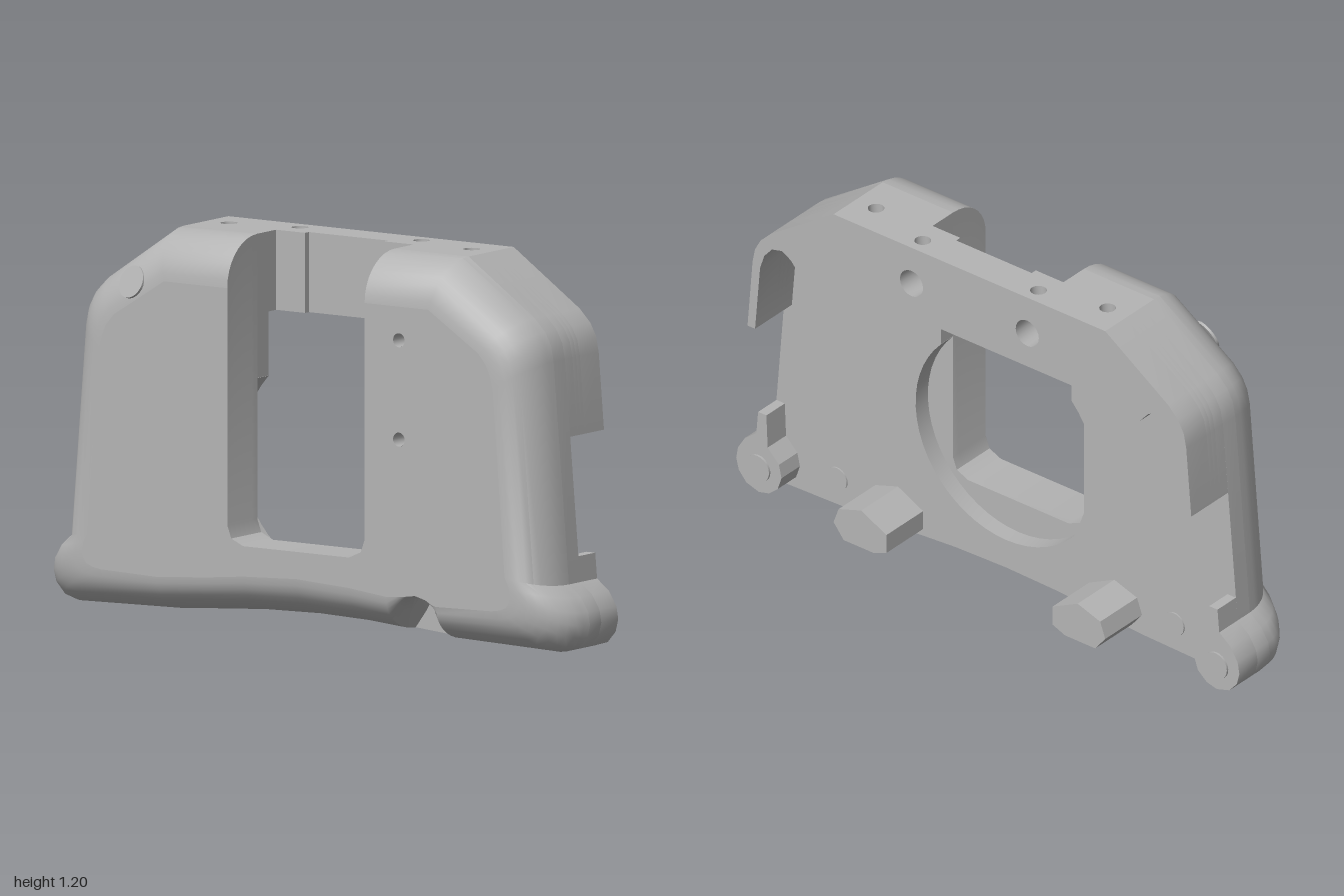
import * as THREE from 'three';
import { toCreasedNormals } from 'three/addons/utils/BufferGeometryUtils.js';

export function createModel() {
  const model = new THREE.Group();
  const grey = new THREE.MeshStandardMaterial({ color: 0xb4b4b4, side: THREE.DoubleSide });
  grey.name = 'plain grey';

  const add = (name, geometry) => {
    const mesh = new THREE.Mesh(geometry, grey);
    mesh.name = name;
    model.add(mesh);
    return mesh;
  };
  const makeShape = (pts, holes = [], s = 1) => {
    const shape = new THREE.Shape(pts.map(([x, y]) => new THREE.Vector2(s * x, y)));
    for (const [x, y, r] of holes) shape.holes.push(new THREE.Path().absarc(s * x, y, r, 0, Math.PI * 2, true));
    return shape;
  };
  // Flat slab from z0 to z1; s = -1 mirrors it to the other side
  const slab = (name, pts, z0, z1, s = 1, holes = []) => {
    const g = new THREE.ExtrudeGeometry(makeShape(pts, holes, s), { depth: z1 - z0, bevelEnabled: false, curveSegments: 10 });
    g.translate(0, 0, z0);
    return add(name, toCreasedNormals(g, 0.5));
  };
  const disc = (name, x, y, z0, z1, r) => {
    const m = add(name, new THREE.CylinderGeometry(r, r, z1 - z0, 24));
    m.rotation.x = Math.PI / 2;
    m.position.set(x, y, (z0 + z1) / 2);
  };

  // Half outline: rim x, y at the back, then x, y where the rounding meets the flat front
  const side = [
    [0.26, 1.2, 0.26, 1.05], [0.54, 1.2, 0.5, 1.05], [0.79, 1.03, 0.69, 0.93],
    [0.83, 0.99, 0.72, 0.895], [0.852, 0.95, 0.735, 0.86], [0.862, 0.9, 0.745, 0.82],
    [0.92, 0.21, 0.79, 0.24], [0.965, 0.175, 0.805, 0.21], [0.993, 0.13, 0.81, 0.18],
    [1, 0.09, 0.805, 0.16], [0.99, 0.05, 0.795, 0.145], [0.96, 0.015, 0.77, 0.135], [0.91, 0, 0.74, 0.13],
  ];
  const bottom = [[0.53, 0.01, 0.53, 0.125], [0.34, 0.025, 0.34, 0.14], [0.2, 0.035, 0.2, 0.155]];
  const notch = [
    [0.515, 0.1, 0.515, 0.128], [0.49, 0.135, 0.49, 0.142], [0.45, 0.147, 0.45, 0.152],
    [0.41, 0.13, 0.41, 0.146], [0.38, 0.08, 0.38, 0.143],
  ];
  const mirrored = (pts) => pts.map(([a, b, c, d]) => [-a, b, -c, d]).reverse();
  const middle = [[0, 0.04, 0, 0.165]];
  const leftHalf = mirrored([...side, ...bottom]);
  const window = [
    [-0.26, 0.31], [-0.245, 0.27], [-0.2, 0.25], [0.2, 0.25], [0.245, 0.27], [0.26, 0.31],
  ].map(([x, y]) => [x, y, x, y]);

  // Front shell: rim swept forward through a quarter-round to the flat face
  const ring = [...side, bottom[0], ...notch, ...bottom.slice(1), ...middle, ...leftHalf, ...window];
  const n = ring.length, steps = 9, position = [], index = [];
  for (let k = 0; k <= steps; k++) {
    const a = (k / steps) * Math.PI / 2, f = 1 - Math.cos(a);
    for (const [x, y, ix, iy] of ring) position.push(x + (ix - x) * f, y + (iy - y) * f, 0.04 + 0.16 * Math.sin(a));
  }
  for (let k = 0; k < steps; k++) {
    for (let i = 0; i < n; i++) {
      const a = k * n + i, b = k * n + (i + 1) % n;
      index.push(a, a + n, b, b, a + n, b + n);
    }
  }
  const loft = new THREE.BufferGeometry();
  loft.setAttribute('position', new THREE.Float32BufferAttribute(position, 3));
  loft.setIndex(index);
  add('frontShell', toCreasedNormals(loft, 0.6));

  // Flat front face with two screw holes, and the floor of the round recess
  const screws = [[0.39, 0.945, 0.022], [0.39, 0.635, 0.022]];
  add('frontFace', new THREE.ShapeGeometry(makeShape(ring.map(([, , x, y]) => [x, y]), screws))).position.z = 0.2;
  for (const [x, y, r] of screws) {
    const wall = add('screwHoleWall', new THREE.CylinderGeometry(r, r, 0.08, 20, 1, true));
    wall.rotation.x = Math.PI / 2;
    wall.position.set(x, y, 0.16);
    add('screwHoleFloor', new THREE.CircleGeometry(r, 20)).position.set(x, y, 0.12);
  }
  const floor = add('recessFloor', new THREE.ShapeGeometry(makeShape(ring)));
  floor.geometry.rotateY(Math.PI);
  floor.geometry.scale(-1, 1, 1);
  floor.position.z = 0.04;

  // Back plate, cut by the round recess behind the window
  const arc = [];
  const start = Math.atan2(0.25, 0.26);
  for (let i = 0; i <= 40; i++) {
    const a = Math.PI - start + (Math.PI + 2 * start) * i / 40;
    arc.push([0.36 * Math.cos(a), 0.5 + 0.36 * Math.sin(a)]);
  }
  slab('backPlate', [...side, ...bottom, ...middle, ...leftHalf, [-0.26, 0.75], ...arc, [0.26, 0.75]], -0.02, 0.04);

  // Round button plate on the front shoulder
  const button = add('shoulderButton', new THREE.CylinderGeometry(0.052, 0.052, 0.008, 32));
  button.position.set(-0.63, 1.035, 0.187);
  button.quaternion.setFromUnitVectors(new THREE.Vector3(0, 1, 0), new THREE.Vector3(-0.22, 0.38, 0.9).normalize());

  // Top bar and side walls behind the plate; the gap makes the stepped slot
  const scoop = [[0.852, 0.66], [0.832, 0.89], [0.815, 0.94], [0.785, 0.975], [0.745, 0.985], [0.71, 0.965],
    [0.675, 0.925], [0.64, 0.905], [0.59, 0.91], [0.55, 0.94], [0.52, 0.95]];
  const barHalf = (gap) => [
    [gap, 1.15], [0.52, 1.15], [0.52, 1.2], ...side.slice(1, 6), [0.882, 0.66], ...scoop, [gap, 0.95],
  ];
  for (const s of [1, -1]) {
    slab('topBarBack', barHalf(0), -0.2, -0.1, s, [[0.23, 1.07, 0.046]]);
    slab('topBarCore', barHalf(0), -0.1, -0.08, s);
    slab('topBarStep', barHalf(0.15), -0.08, -0.06, s);
    slab('topBarFront', barHalf(0.26), -0.06, -0.02, s);

    // Corner lobes with their upright tabs and round bosses
    slab('cornerLobe', [[0.913, 0.29], ...side.slice(6), [0.87, 0.01], [0.835, 0.04], [0.82, 0.085],
      [0.83, 0.13], [0.875, 0.175], [0.88, 0.29]], -0.11, -0.02, s);
    disc('lobeBoss', s * 0.91, 0.088, -0.117, -0.1, 0.046);
    disc('backDimple', s * 0.67, 0.1, -0.025, -0.01, 0.04);

    // Locating feet
    slab('foot', [[0.5, 0.03], [0.54, 0.08], [0.52, 0.135], [0.43, 0.165], [0.33, 0.115], [0.33, 0.05], [0.38, 0.03]],
      -0.2, -0.02, s);
  }

  // Top cap with four drilled holes (drawn flat as x, -z, then laid down)
  const cap = makeShape(
    [[-0.52, 0.02], [-0.26, 0.02], [-0.26, 0.06], [-0.15, 0.06], [-0.15, 0.08], [0.15, 0.08], [0.15, 0.06],
      [0.26, 0.06], [0.26, 0.02], [0.52, 0.02], [0.52, 0.2], [-0.52, 0.2]],
    [[-0.46, 0.09, 0.026], [-0.23, 0.145, 0.026], [0.23, 0.145, 0.026], [0.46, 0.09, 0.026]]);
  const capGeometry = new THREE.ExtrudeGeometry(cap, { depth: 0.05, bevelEnabled: false, curveSegments: 10 });
  capGeometry.rotateX(-Math.PI / 2);
  capGeometry.translate(0, 1.15, 0);
  add('topCap', toCreasedNormals(capGeometry, 0.5));

  return model;
}
